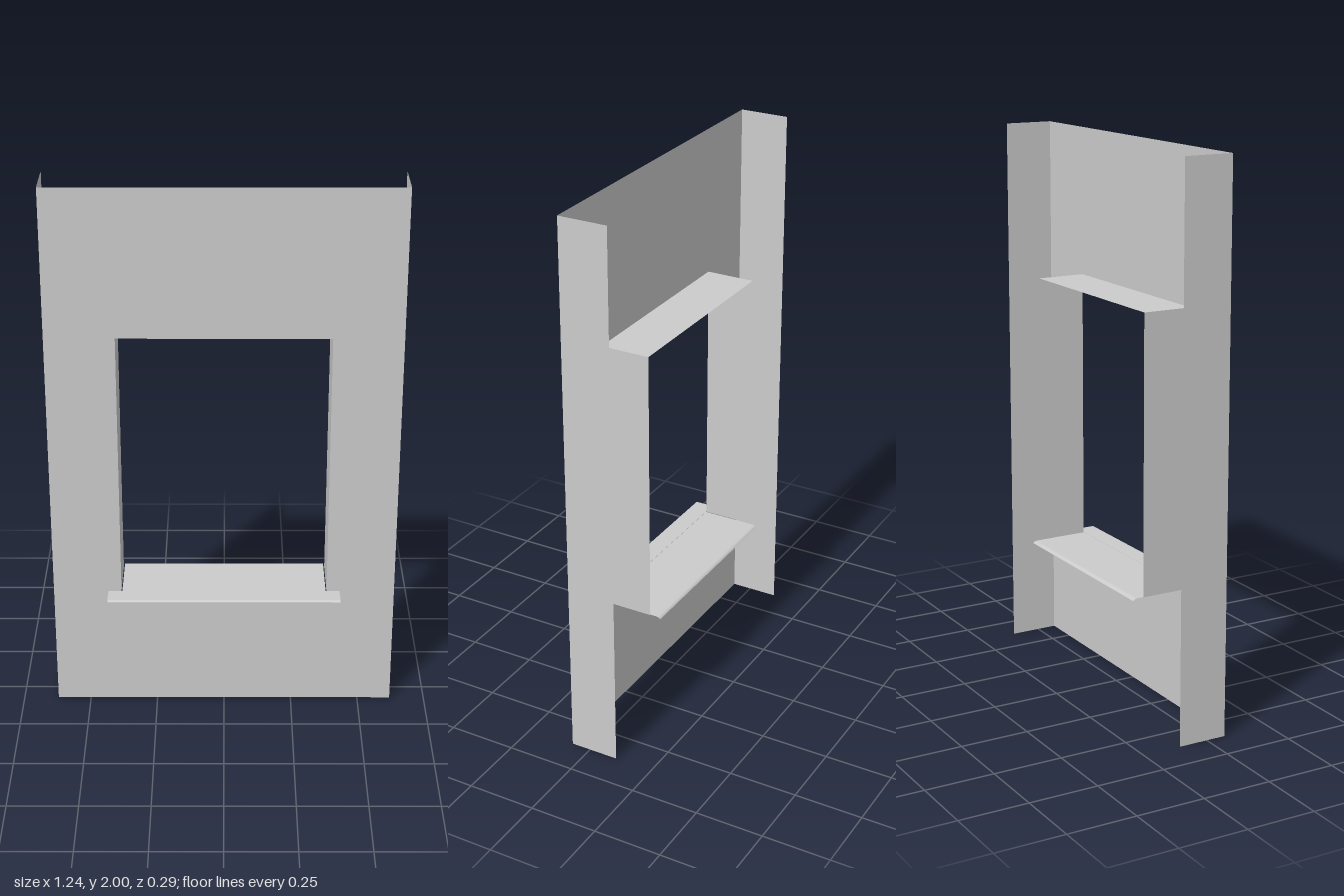
import * as THREE from 'three';

const FRONT = 0.072, BACK = -0.108;   // wall depth range
const HALF_W = 0.622, HEIGHT = 2;     // wall panel
const OPEN_W = 0.375, SILL_Y = 0.46, HEAD_Y = 1.459; // window opening

export function createModel() {
  const group = new THREE.Group();
  const material = new THREE.MeshStandardMaterial({ color: 0xcccccc, side: THREE.DoubleSide });

  const add = (name, geometry) => {
    const mesh = new THREE.Mesh(geometry, material);
    mesh.name = name;
    group.add(mesh);
    return mesh;
  };

  // Front wall sheet with the window opening
  const wall = new THREE.Shape([
    new THREE.Vector2(-HALF_W, 0), new THREE.Vector2(HALF_W, 0),
    new THREE.Vector2(HALF_W, HEIGHT), new THREE.Vector2(-HALF_W, HEIGHT),
  ]);
  wall.holes.push(new THREE.Path([
    new THREE.Vector2(-OPEN_W, SILL_Y), new THREE.Vector2(-OPEN_W, HEAD_Y),
    new THREE.Vector2(OPEN_W, HEAD_Y), new THREE.Vector2(OPEN_W, SILL_Y),
  ]));
  add('wallFront', new THREE.ShapeGeometry(wall)).position.z = FRONT;

  // Wall returns and window jambs, open at the back
  const depth = FRONT - BACK, midZ = (FRONT + BACK) / 2;
  for (const [side, label] of [[1, 'left'], [-1, 'right']]) {
    const ret = add(label + 'WallReturn', new THREE.PlaneGeometry(depth, HEIGHT));
    ret.rotation.y = side * Math.PI / 2;
    ret.position.set(side * HALF_W, HEIGHT / 2, midZ);

    const jamb = add(label + 'Jamb', new THREE.PlaneGeometry(depth, HEAD_Y - SILL_Y));
    jamb.rotation.y = -side * Math.PI / 2;
    jamb.position.set(side * OPEN_W, (HEAD_Y + SILL_Y) / 2, midZ);
  }

  // Window head
  const head = add('windowHead', new THREE.PlaneGeometry(2 * OPEN_W, depth));
  head.rotation.x = Math.PI / 2;
  head.position.set(0, HEAD_Y, midZ);

  // Sill sheet through the opening, its back edge curling down
  const curl = [[FRONT, 0], [-0.13, 0], [-0.138, -0.001], [-0.143, -0.004], [-0.146, -0.008]];
  const sheet = new THREE.PlaneGeometry(0.744, 1, 1, curl.length - 1);
  const pos = sheet.attributes.position;
  for (let i = 0; i < pos.count; i++) {
    const [z, y] = curl[curl.length - 1 - Math.floor(i / 2)];
    pos.setXYZ(i, pos.getX(i), SILL_Y + y, z);
  }
  sheet.computeVertexNormals();
  add('sillSheet', sheet);

  // Projecting sill nose with a rounded drip edge, profile in (z, y)
  const nose = new THREE.Shape();
  nose.moveTo(FRONT, 0.461);
  nose.lineTo(0.137, 0.461);
  nose.quadraticCurveTo(0.145, 0.461, 0.145, 0.453);
  nose.lineTo(0.145, 0.444);
  nose.lineTo(0.14, 0.444);
  nose.lineTo(0.14, 0.451);
  nose.quadraticCurveTo(0.14, 0.455, 0.136, 0.455);
  nose.lineTo(FRONT, 0.455);
  const noseGeometry = new THREE.ExtrudeGeometry(nose, { depth: 0.846, bevelEnabled: false, curveSegments: 4 });
  noseGeometry.rotateY(-Math.PI / 2).translate(0.423, 0, 0);
  add('sillNose', noseGeometry);

  return group;
}
